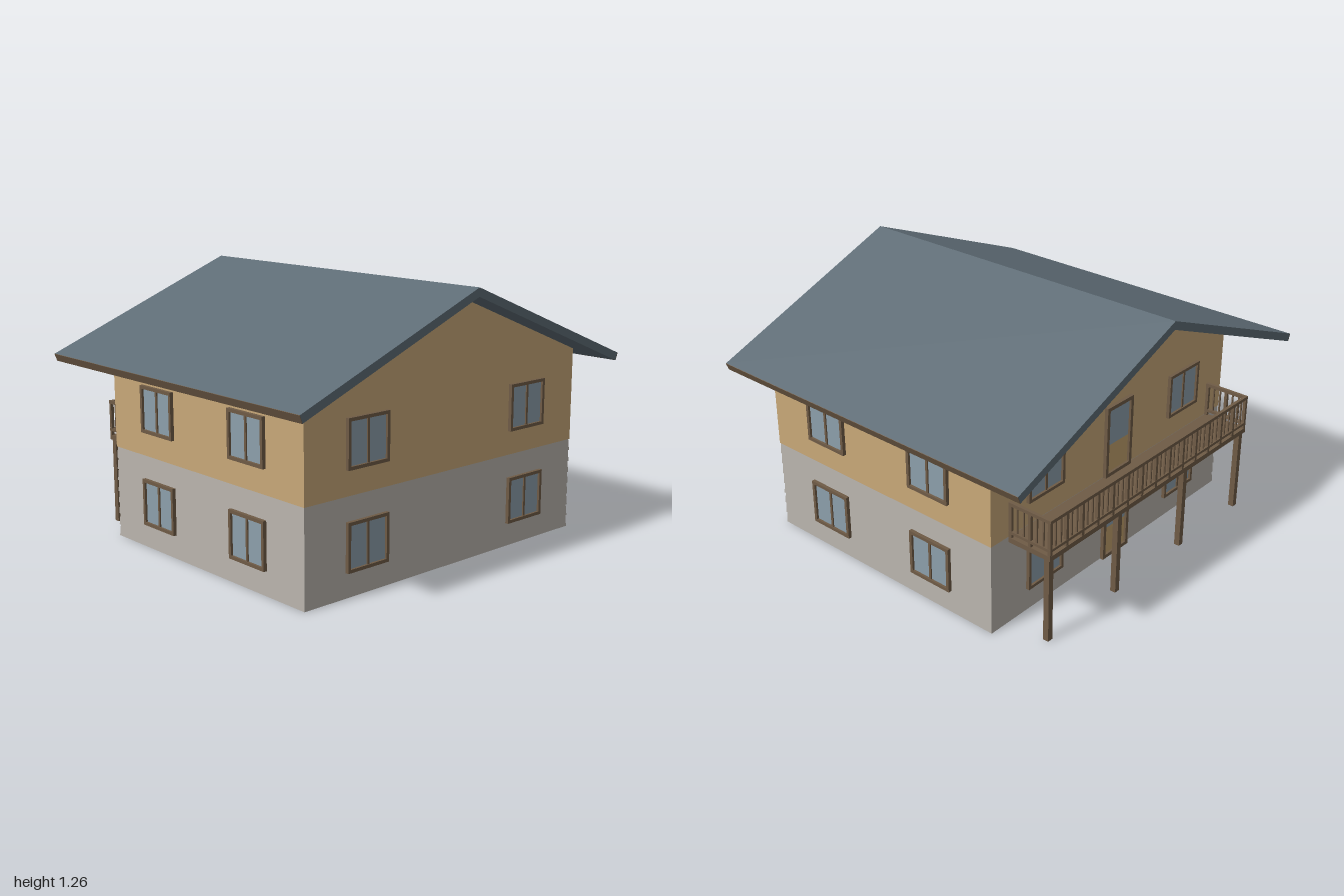
import * as THREE from 'three';

const mat = (name, color) => Object.assign(new THREE.MeshStandardMaterial({ color }), { name });

export function createModel() {
  const tan = mat('tan wall', 0xc8a878);
  const grey = mat('grey siding', 0xb5b0a9);
  const slate = mat('slate roof', 0x5e6c75);
  const brown = mat('brown timber', 0x6f5b46);
  const glass = mat('glass', 0x8c9fab);
  const doorTan = mat('door panel', 0xc0a06c);

  const house = new THREE.Group();
  house.name = 'house';

  const HALF = 0.85, FRONT = 0.74, BACK = -0.612, FLOOR = 0.44;
  const depth = FRONT - BACK, midZ = (FRONT + BACK) / 2;

  const add = (parent, name, geo, material, x = 0, y = 0, z = 0) => {
    const m = new THREE.Mesh(geo, material);
    m.name = name;
    m.position.set(x, y, z);
    parent.add(m);
    return m;
  };
  const box = (parent, name, material, w, h, d, x, y, z) =>
    add(parent, name, new THREE.BoxGeometry(w, h, d), material, x, y, z);
  const polygon = (pts) => new THREE.Shape(pts.map(([x, y]) => new THREE.Vector2(x, y)));
  const group = (name) => {
    const g = new THREE.Group();
    g.name = name;
    house.add(g);
    return g;
  };

  // Lower storey: overlapping boards, each slightly narrower at its top
  const siding = group('lowerSiding');
  const courses = 8, ch = FLOOR / courses, lap = 0.004;
  for (let i = 0; i < courses; i++) {
    const geo = new THREE.BoxGeometry(HALF * 2, ch, depth);
    const p = geo.attributes.position;
    for (let k = 0; k < p.count; k++) {
      if (p.getY(k) > 0) {
        p.setX(k, p.getX(k) - Math.sign(p.getX(k)) * lap);
        p.setZ(k, p.getZ(k) - Math.sign(p.getZ(k)) * lap);
      }
    }
    geo.computeVertexNormals();
    add(siding, 'sidingCourse', geo, grey, 0, (i + 0.5) * ch, midZ);
  }

  // Upper storey with gables
  const gable = polygon([[-HALF, FLOOR], [HALF, FLOOR], [HALF, 0.885], [0, 1.223], [-HALF, 0.885]]);
  add(house, 'upperWalls', new THREE.ExtrudeGeometry(gable, { depth, bevelEnabled: false }), tan, 0, 0, BACK);

  // Roof slab and eave boards
  const chevron = polygon([[-0.998, 0.866], [-0.984, 0.831], [0, 1.222], [0.984, 0.831], [0.998, 0.866], [0, 1.262]]);
  add(house, 'roof', new THREE.ExtrudeGeometry(chevron, { depth: 1.78, bevelEnabled: false }), slate, 0, 0, -0.89);
  for (const s of [-1, 1]) {
    const eave = polygon([[s * 0.998, 0.866], [s * 1.0, 0.865], [s * 0.986, 0.83], [s * 0.984, 0.831]]);
    add(house, 'eaveBoard', new THREE.ExtrudeGeometry(eave, { depth: 1.78, bevelEnabled: false }), brown, 0, 0, -0.89);
  }

  // Rectangular frame with an open middle, its back on z = 0
  const frameGeo = (w, h, t, d) => {
    const s = polygon([[-w / 2, -h / 2], [w / 2, -h / 2], [w / 2, h / 2], [-w / 2, h / 2]]);
    const a = w / 2 - t, b = h / 2 - t;
    s.holes.push(new THREE.Path([[-a, -b], [-a, b], [a, b], [a, -b]].map(([x, y]) => new THREE.Vector2(x, y))));
    return new THREE.ExtrudeGeometry(s, { depth: d, bevelEnabled: false });
  };

  const makeWindow = (x, y, z, turn) => {
    const g = group('window');
    g.position.set(x, y, z);
    g.rotation.y = turn;
    const w = 0.236, h = 0.22;
    add(g, 'windowFrame', frameGeo(w, h, 0.015, 0.017), brown);
    box(g, 'windowPane', glass, w - 0.03, h - 0.03, 0.008, 0, 0, 0.002);
    box(g, 'windowBar', brown, 0.012, h - 0.03, 0.012, 0, 0, 0.006);
  };

  const makeDoor = (y, h) => {
    const g = group('door');
    g.position.set(0, y + h / 2, BACK);
    g.rotation.y = Math.PI;
    const w = 0.19, t = 0.018, split = -h * 0.06;
    const top = h / 2 - t, low = -h / 2 + t;
    add(g, 'doorFrame', frameGeo(w, h, t, 0.018), brown);
    box(g, 'doorGlass', glass, w - 2 * t, top - split, 0.009, 0, (top + split) / 2, 0.002);
    box(g, 'doorPanel', doorTan, w - 2 * t, split - low, 0.009, 0, (split + low) / 2, 0.002);
  };

  // Windows on all four walls, doors in the back wall
  for (const y of [0.222, 0.663]) {
    for (const s of [-1, 1]) {
      makeWindow(s * 0.506, y, FRONT, 0);
      makeWindow(s * 0.506, y, BACK, Math.PI);
      makeWindow(s * HALF, y, 0.383, s * Math.PI / 2);
      makeWindow(s * HALF, y, -0.259, s * Math.PI / 2);
    }
  }
  makeDoor(0, 0.357);
  makeDoor(FLOOR, 0.355);

  // Balcony: deck, supports and railing
  const balcony = group('balcony');
  const BX = 0.74, OUT = -0.84;
  box(balcony, 'deck', brown, BX * 2, 0.024, BACK - OUT, 0, 0.426, (BACK + OUT) / 2);
  for (const x of [-0.72, -0.25, 0.25, 0.72])
    box(balcony, 'supportPost', brown, 0.028, 0.416, 0.028, x, 0.208, -0.816);

  const railX = BX - 0.008, railZ = OUT + 0.008;
  for (const [y, t] of [[0.602, 0.016], [0.464, 0.013]]) {
    box(balcony, 'backRail', brown, BX * 2, t, 0.016, 0, y, railZ);
    for (const s of [-1, 1])
      box(balcony, 'sideRail', brown, 0.016, t, BACK - OUT, s * railX, y, (BACK + OUT) / 2);
  }
  // Every third upright is a thicker post reaching the deck
  const upright = (i, x, z) => {
    const thick = i % 3 === 0, t = thick ? 0.015 : 0.007, base = thick ? 0.436 : 0.464;
    box(balcony, thick ? 'railPost' : 'baluster', brown, t, 0.602 - base, t, x, (0.602 + base) / 2, z);
  };
  const n = 42;
  for (let i = 0; i <= n; i++) upright(i, -railX + (2 * railX * i) / n, railZ);
  for (const s of [-1, 1])
    for (let i = 1; i <= 6; i++) upright(i, s * railX, railZ + ((BACK - 0.008 - railZ) * i) / 6);

  return house;
}
